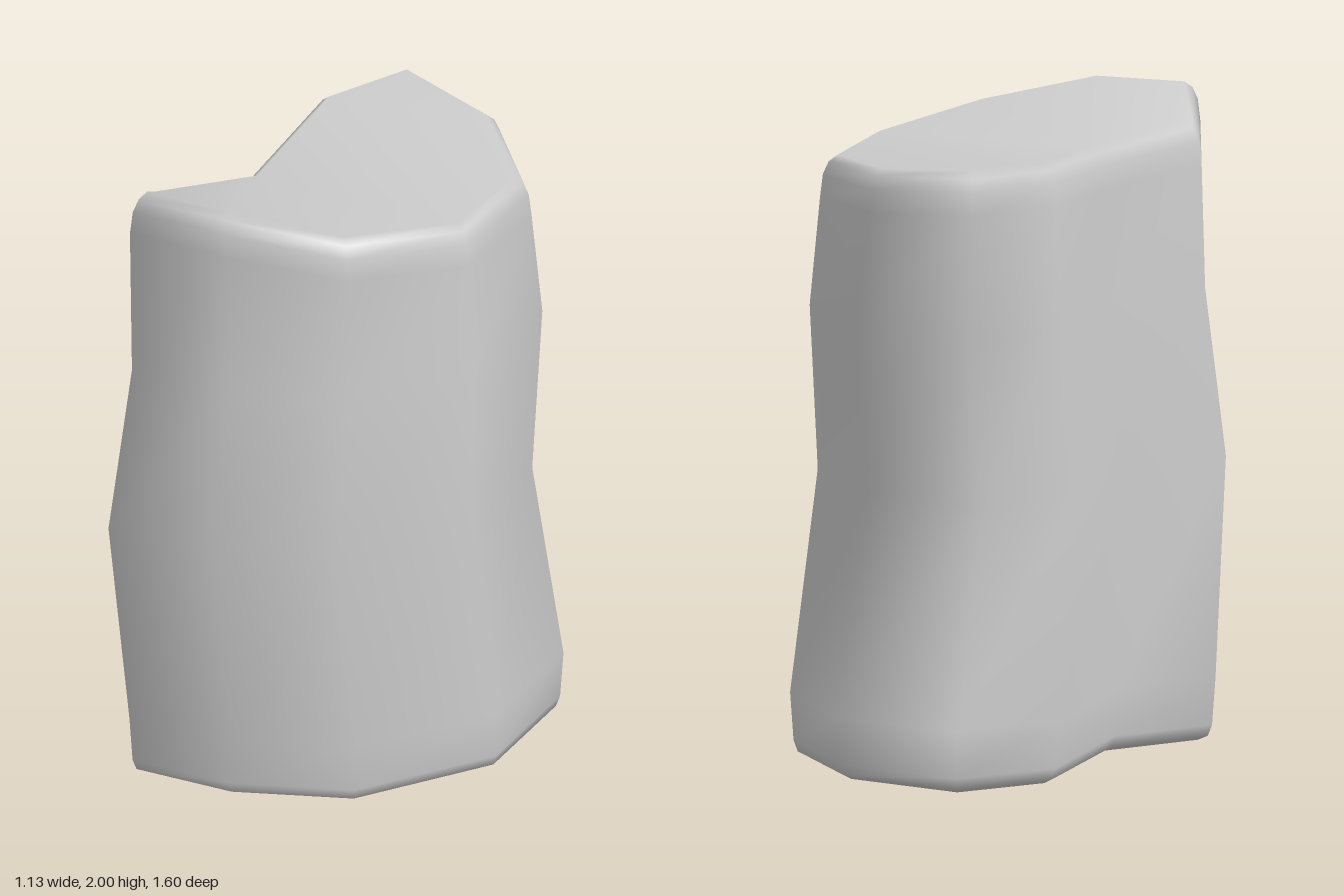
import * as THREE from 'three';

// Kidney-shaped sections [x, z], starting at the front tip and going round by +x.
const foot = [[-0.1, 0.72], [0.21, 0.57], [0.48, 0.29], [0.56, -0.2], [0.36, -0.6],
  [-0.04, -0.795], [-0.48, -0.72], [-0.57, -0.37], [-0.31, 0.15], [-0.385, 0.5]];
const waist = [[-0.1, 0.8], [0.21, 0.64], [0.48, 0.36], [0.555, -0.1], [0.36, -0.48],
  [-0.04, -0.66], [-0.46, -0.59], [-0.51, -0.24], [-0.28, 0.21], [-0.37, 0.56]];
const chest = [[-0.1, 0.71], [0.2, 0.58], [0.455, 0.3], [0.52, -0.14], [0.345, -0.53],
  [-0.04, -0.71], [-0.46, -0.64], [-0.5, -0.29], [-0.25, 0.18], [-0.31, 0.53]];
const rim = [[-0.11, 0.71], [0.19, 0.57], [0.445, 0.29], [0.5, -0.13], [0.33, -0.5],
  [-0.04, -0.665], [-0.44, -0.61], [-0.46, -0.27], [-0.23, 0.18], [-0.275, 0.55]];
// Height of the uneven top at each corner
const topY = [2, 2, 1.93, 1.875, 1.865, 1.885, 1.915, 1.905, 1.87, 1.91];
// Triangles that fill a section
const cap = [[0, 1, 9], [9, 1, 8], [1, 2, 8], [8, 2, 3], [8, 3, 7], [7, 3, 4], [7, 4, 5], [7, 5, 6]];

// Shrinks a section by moving every corner inwards along its mitre
function inset(section, d) {
  const n = section.length;
  const inward = (p, q) => new THREE.Vector2(q[1] - p[1], p[0] - q[0]).normalize();
  return section.map((p, i) => {
    const a = inward(section[(i + n - 1) % n], p);
    const b = inward(p, section[(i + 1) % n]);
    const m = a.clone().add(b).multiplyScalar(d / (1 + a.dot(b)));
    return [p[0] + m.x, p[1] + m.y];
  });
}

function loft(rings) {
  const n = foot.length, pos = [], idx = [];
  for (const [section, y] of rings) {
    section.forEach(([x, z], i) => pos.push(x, y(i), z));
  }
  for (let r = 0; r < rings.length - 1; r++) {
    for (let i = 0; i < n; i++) {
      const a = r * n + i, b = r * n + (i + 1) % n;
      idx.push(a, b, b + n, a, b + n, a + n);
    }
  }
  const last = (rings.length - 1) * n;
  for (const [a, b, c] of cap) {
    idx.push(a, c, b);
    idx.push(last + a, last + b, last + c);
  }
  const geo = new THREE.BufferGeometry();
  geo.setAttribute('position', new THREE.Float32BufferAttribute(pos, 3));
  geo.setIndex(idx);
  geo.computeVertexNormals();
  return geo;
}

export function createModel() {
  const group = new THREE.Group();
  group.name = 'rock';
  const level = (y) => () => y;
  const below = (d) => (i) => topY[i] - d;

  // Rounded foot, bulging sides, rounded uneven top
  const geometry = loft([
    [inset(foot, 0.05), level(0)],
    [inset(foot, 0.022), level(0.015)],
    [inset(foot, 0.01), level(0.05)],
    [foot, level(0.2)],
    [waist, level(0.88)],
    [chest, level(1.4)],
    [rim, below(0.13)],
    [inset(rim, 0.008), below(0.06)],
    [inset(rim, 0.025), below(0.02)],
    [inset(rim, 0.05), below(0)],
  ]);
  const stone = new THREE.Mesh(geometry, new THREE.MeshStandardMaterial({ color: 0xcccccc }));
  stone.name = 'stonePillar';
  group.add(stone);
  return group;
}
